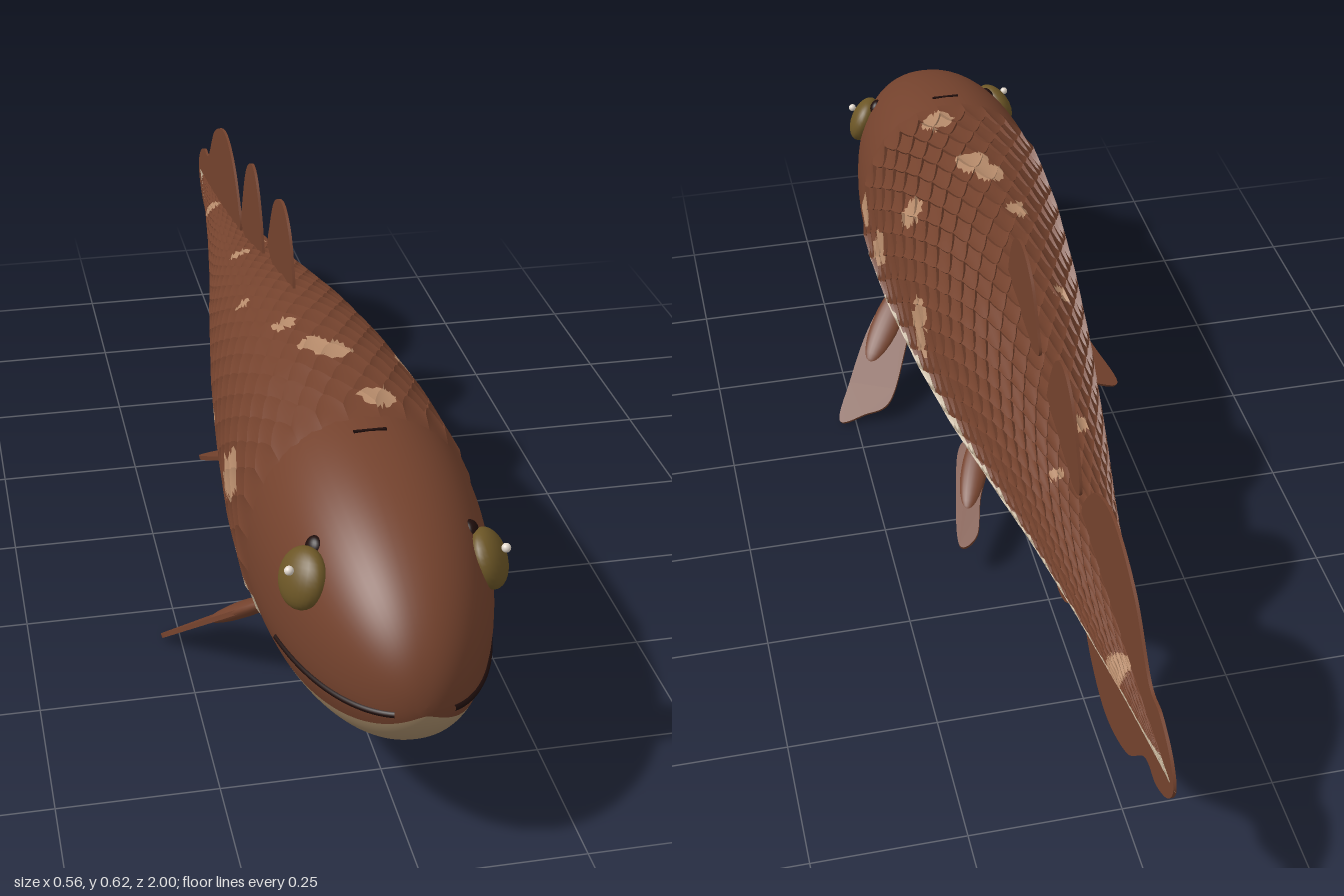
import * as THREE from 'three';

const mat = (name, color, side = THREE.FrontSide) => {
  const m = new THREE.MeshStandardMaterial({ color, side });
  m.name = name;
  return m;
};
const brown = mat('brown skin', 0x74422d, THREE.DoubleSide);
const cream = mat('cream belly scales', 0xbcab92, THREE.DoubleSide);
const chin = mat('tan chin', 0xa58a68, THREE.DoubleSide);
const spot = mat('pale spot', 0xb58a6a, THREE.DoubleSide);
const dark = mat('mouth dark', 0x1e0d0b);
const olive = mat('eye olive', 0x6c5626);
const white = mat('eye glint', 0xe2d8cc);

// Body profile: z, top, bottom, half width
const PROFILE = [
  [0.57, 0.53, 0.1, 0.179], [0.4, 0.53, 0.102, 0.173], [0.2, 0.513, 0.115, 0.155],
  [0, 0.48, 0.145, 0.131], [-0.2, 0.435, 0.193, 0.101], [-0.4, 0.388, 0.232, 0.07],
  [-0.6, 0.355, 0.262, 0.044], [-0.8, 0.328, 0.287, 0.021], [-1, 0.306, 0.302, 0.001],
];
const NECK = 0.57, NOSE = 0.43, ROUND = 0.92;

function section(z) {
  if (z >= NECK) {
    const s = Math.sqrt(Math.max(0, 1 - ((z - NECK) / NOSE) ** 2));
    return { mid: 0.29 + 0.02 * s, up: 0.22 * s, down: 0.21 * s, w: 0.179 * s };
  }
  let i = 0;
  while (i < PROFILE.length - 2 && z < PROFILE[i + 1][0]) i++;
  const a = PROFILE[i], b = PROFILE[i + 1];
  const t = Math.min(1, (a[0] - z) / (a[0] - b[0]));
  const [top, bot, w] = [1, 2, 3].map((k) => a[k] + (b[k] - a[k]) * t);
  const mid = Math.min(0.31, top);
  return { mid, up: top - mid, down: mid - bot, w };
}

const pw = (v, e) => Math.sign(v) * Math.abs(v) ** e;

// Point on the skin at station z and angle a, raised by off
function skin(z, a, off = 0) {
  const s = section(z), c = Math.cos(a), n = Math.sin(a);
  return new THREE.Vector3(
    (s.w + off) * pw(c, ROUND),
    s.mid + ((n > 0 ? s.up : s.down) + off) * pw(n, ROUND), z);
}

// Angle on the +x side where the skin has height y
function angleAt(z, y) {
  const s = section(z);
  const r = (y - s.mid) / Math.max(1e-5, y > s.mid ? s.up : s.down);
  return Math.asin(pw(Math.max(-1, Math.min(1, r)), 1 / ROUND));
}

const chinLine = (z) => 0.282 - 0.5 * section(z).w;
const bellyLine = (z) => 0.235 + (NECK - z) * 0.052;

// Grid of points fn(u, v); faces point along du x dv
function grid(fn, nu, nv) {
  const pos = [], idx = [];
  for (let i = 0; i <= nu; i++) for (let j = 0; j <= nv; j++) pos.push(...fn(i / nu, j / nv).toArray());
  for (let i = 0; i < nu; i++) {
    for (let j = 0; j < nv; j++) {
      const p = i * (nv + 1) + j, q = p + nv + 1;
      idx.push(p, q, p + 1, q, q + 1, p + 1);
    }
  }
  const g = new THREE.BufferGeometry();
  g.setAttribute('position', new THREE.Float32BufferAttribute(pos, 3));
  g.setIndex(idx);
  g.computeVertexNormals();
  return g;
}

// Upper and lower skins that meet along a colour line
function skins(group, name, zAt, off, rings, line, lowerMat) {
  const wrap = (lower) => grid((u, v) => {
    const z = zAt(u), a = angleAt(z, line(z));
    const from = lower ? -Math.PI - a : a, to = lower ? a : Math.PI - a;
    return skin(z, from + (to - from) * v, off * Math.min(1, section(z).w / 0.08));
  }, rings, 40);
  add(group, name + 'Back', wrap(false), brown);
  add(group, name + 'Belly', wrap(true), lowerMat);
}

function add(group, name, geo, material) {
  const m = new THREE.Mesh(geo, material);
  m.name = name;
  group.add(m);
  return m;
}

// Pale blotches: x, y, z, radius
const SPOTS = [
  [0.18, 0.345, 0.55, 0.032], [0.17, 0.345, 0.41, 0.034], [0.17, 0.315, 0.44, 0.03],
  [0.125, 0.465, 0.33, 0.028], [0.145, 0.36, 0.145, 0.035], [0.145, 0.325, 0.13, 0.033],
  [0.02, 0.315, -0.76, 0.027], [-0.05, 0.51, 0.23, 0.02], [0, 0.53, 0.375, 0.032],
  [-0.025, 0.53, 0.34, 0.027], [0.035, 0.53, 0.54, 0.03], [-0.175, 0.36, 0.44, 0.042],
  [-0.17, 0.33, 0.4, 0.036], [-0.14, 0.285, 0.12, 0.026], [-0.075, 0.445, 0.03, 0.022],
  [-0.035, 0.41, -0.28, 0.02], [0.02, 0.385, -0.38, 0.014], [-0.02, 0.33, -0.7, 0.02],
];
const inSpot = (p) => SPOTS.some(([x, y, z, r]) => Math.hypot(p.x - x, p.y - y, p.z - z) < r);

// Overlapping scales in staggered rows, sorted into material groups
function scales() {
  const pos = [], lists = [[], [], []], N = 28, NU = 5, NV = 6;
  const p = (k) => new THREE.Vector3().fromArray(pos, k * 3);
  const face = (a, b, c) => {
    const m = p(a).add(p(b)).add(p(c)).divideScalar(3);
    lists[inSpot(m) ? 2 : m.y < bellyLine(m.z) ? 1 : 0].push(a, b, c);
  };
  let row = 0;
  for (let z = 0.605; z > -0.92; row++) {
    const step = 0.026 + 0.017 * (z + 1) / 1.6, len = step * 2;
    const lift = 0.008 * Math.min(1, section(z).w / 0.1);
    for (let j = 0; j < N; j++) {
      const mid = (j + (row % 2) / 2) * 2 * Math.PI / N, base = pos.length / 3;
      // The last two rings form the thin rear rim
      for (let i = 0; i <= NU + 2; i++) {
        const u = Math.min(1, i / NU);
        for (let k = 0; k <= NV; k++) {
          const v = (k / NV) * 2 - 1;
          const zz = z - len * u * (1 - 0.5 * Math.abs(v) ** 1.5);
          const off = i === NU + 2 ? -0.002 : lift * u - 0.001;
          pos.push(...skin(zz, mid + v * Math.PI / N, off).toArray());
        }
      }
      for (let i = 0; i < NU + 2; i++) {
        if (i === NU) continue;
        for (let k = 0; k < NV; k++) {
          const a = base + i * (NV + 1) + k, b = a + NV + 1;
          face(a, b, a + 1);
          face(b, b + 1, a + 1);
        }
      }
    }
    z -= step;
  }
  const g = new THREE.BufferGeometry();
  g.setAttribute('position', new THREE.Float32BufferAttribute(pos, 3));
  g.setIndex(lists.flat());
  let start = 0;
  lists.forEach((l, i) => { g.addGroup(start, l.length, i); start += l.length; });
  g.computeVertexNormals();
  return g;
}

// Flat blade from a smooth outline
function blade(points, depth) {
  const s = new THREE.Shape();
  s.moveTo(...points[0]);
  s.splineThru(points.slice(1).map((q) => new THREE.Vector2(...q)));
  return new THREE.ExtrudeGeometry(s, { depth, bevelEnabled: false, curveSegments: 32 }).translate(0, 0, -depth / 2);
}

// Upright fins: outlines in (z, y)
const FINS = {
  frontDorsalFin: [[0.07, 0.46], [0.055, 0.52], [0.02, 0.585], [-0.04, 0.612], [-0.11, 0.585], [-0.155, 0.52], [-0.17, 0.475], [-0.1, 0.45]],
  rearDorsalFin: [[-0.22, 0.41], [-0.25, 0.49], [-0.29, 0.55], [-0.335, 0.568], [-0.39, 0.54], [-0.43, 0.475], [-0.45, 0.4], [-0.36, 0.385]],
  analFin: [[-0.22, 0.21], [-0.25, 0.15], [-0.29, 0.105], [-0.335, 0.09], [-0.39, 0.115], [-0.43, 0.17], [-0.45, 0.22], [-0.36, 0.25]],
  tailFin: [[-0.468, 0.375], [-0.48, 0.41], [-0.55, 0.485], [-0.65, 0.515], [-0.77, 0.473], [-0.86, 0.385], [-0.92, 0.378],
    [-0.975, 0.35], [-1, 0.308], [-0.975, 0.265], [-0.92, 0.235], [-0.86, 0.23], [-0.77, 0.145], [-0.65, 0.105], [-0.55, 0.135],
    [-0.48, 0.205], [-0.468, 0.24], [-0.46, 0.31]],
};

// Paired fins: outline in (x, distance along the fin slope), fleshy lobe from root to end
const PAIRED = [
  { name: 'pectoral', droop: 0.3, slope: [-0.56, -0.83], at: [0.23, 0.55], lobe: [[0.13, 0.04], [0.23, 0.15], 0.03],
    pts: [[0.1, 0], [0.15, 0.03], [0.225, 0.1], [0.29, 0.185], [0.335, 0.255], [0.285, 0.262], [0.23, 0.255], [0.17, 0.17], [0.12, 0.08]] },
  { name: 'pelvic', droop: 0.2, slope: [-0.43, -0.9], at: [0.18, 0.04], lobe: [[0.07, 0.02], [0.12, 0.13], 0.024],
    pts: [[0.06, 0.01], [0.105, 0.02], [0.133, 0.09], [0.16, 0.205], [0.125, 0.2], [0.098, 0.13], [0.065, 0.07]] },
];

export function createModel() {
  const fish = new THREE.Group();
  fish.name = 'fish';

  skins(fish, 'head', (u) => NECK + NOSE * Math.cos(u * Math.PI / 2), 0, 40, chinLine, chin);
  skins(fish, 'body', (u) => 0.59 - 1.59 * u, -0.004, 40, bellyLine, cream);
  add(fish, 'scales', scales(), [brown, cream, spot]);

  for (const [name, pts] of Object.entries(FINS)) {
    add(fish, name, blade(pts, 0.005).rotateY(-Math.PI / 2), brown);
  }
  // Small dark slit on top of the head
  add(fish, 'headSlit', new THREE.BoxGeometry(0.05, 0.006, 0.005), dark).position.set(0, 0.5255, 0.635);

  for (const s of [1, -1]) {
    const side = s > 0 ? 'left' : 'right';
    for (const f of PAIRED) {
      const fin = new THREE.Group();
      fin.name = `${side} ${f.name} fin`;
      const across = new THREE.Vector3(1, -s * f.droop, 0).normalize();
      const along = new THREE.Vector3(0, ...f.slope);
      along.addScaledVector(across, -along.dot(across)).normalize();
      const basis = new THREE.Matrix4().makeBasis(across, along, across.clone().cross(along));
      fin.quaternion.setFromRotationMatrix(basis);
      fin.position.set(0, ...f.at);
      add(fin, 'finBlade', blade(f.pts.map(([x, v]) => [s * x, v]), 0.008), brown);
      const [a, b, r] = f.lobe, dx = s * (b[0] - a[0]), dv = b[1] - a[1];
      const lobe = add(fin, 'finLobe', new THREE.SphereGeometry(1, 20, 14), brown);
      lobe.scale.set(r, Math.hypot(dx, dv) / 2 + 0.02, 0.014);
      lobe.position.set(s * (a[0] + b[0]) / 2, (a[1] + b[1]) / 2, 0);
      lobe.rotation.z = Math.atan2(-dx, dv);
      fish.add(fin);
    }

    // Eye with a dark corner behind it and a glint
    const n = new THREE.Vector3(s * 0.86, 0.38, 0.34).normalize();
    const facing = new THREE.Quaternion().setFromUnitVectors(new THREE.Vector3(0, 0, 1), n);
    const ball = (name, material, pos, r, depth) => {
      const m = add(fish, `${side} ${name}`, new THREE.SphereGeometry(1, 24, 16), material);
      m.position.set(s * pos[0], pos[1], pos[2]);
      m.scale.set(r, r, depth);
      m.quaternion.copy(facing);
    };
    ball('eyeCorner', dark, [0.115, 0.434, 0.788], 0.016, 0.011);
    ball('eye', olive, [0.136, 0.398, 0.81], 0.046, 0.026);
    ball('eyeGlint', white, [0.158, 0.42, 0.822], 0.007, 0.007);

    // Mouth line following the cheek
    const pts = [];
    for (let i = 0; i <= 12; i++) {
      const z = 0.735 + 0.252 * Math.sin((i / 12) * Math.PI / 2);
      const q = skin(z, angleAt(z, 0.284 - 0.2 * section(z).w));
      pts.push(new THREE.Vector3(s * q.x, q.y, z));
    }
    add(fish, `${side} mouth`, new THREE.TubeGeometry(new THREE.CatmullRomCurve3(pts), 40, 0.005, 8), dark);
  }
  return fish;
}
